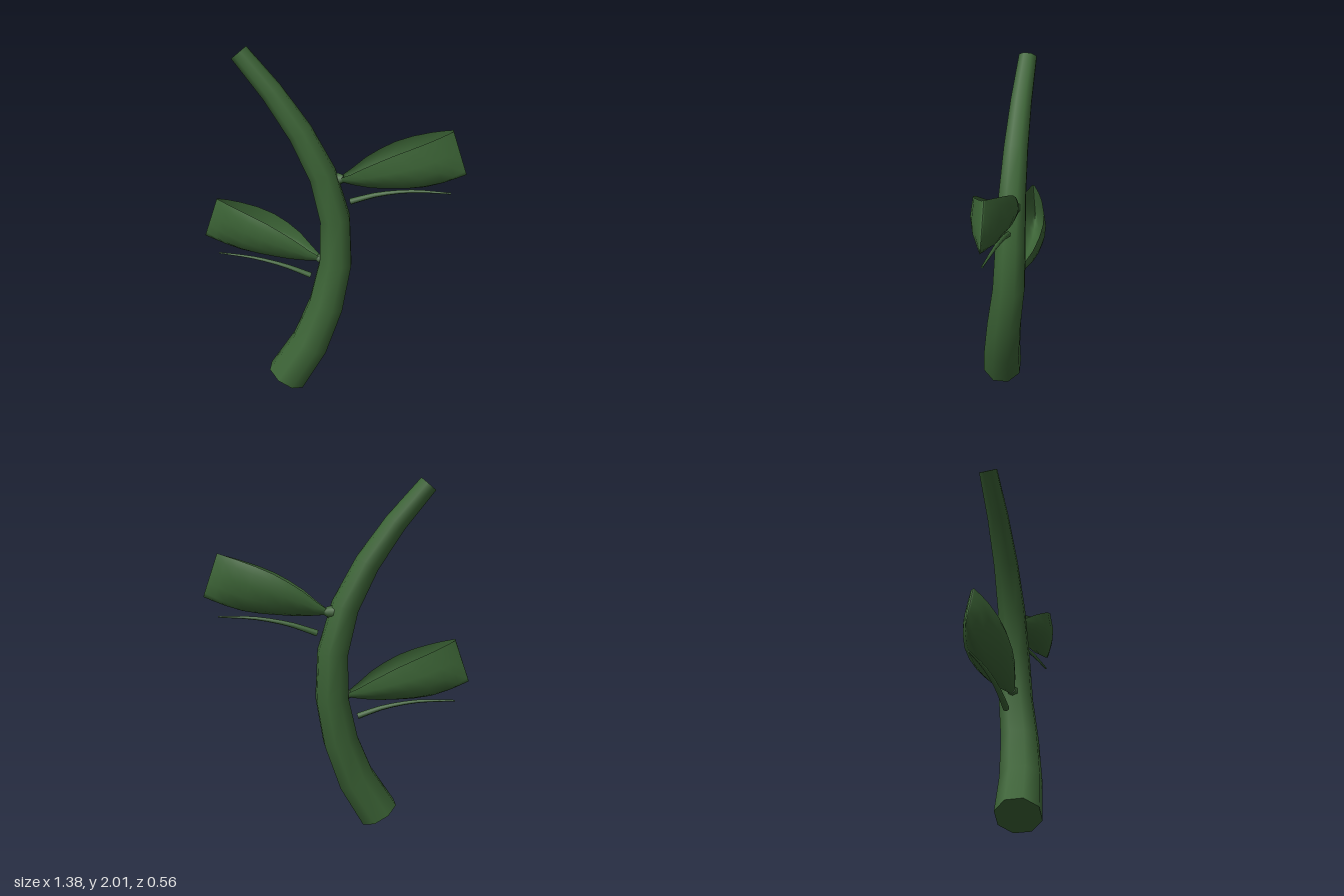
import * as THREE from 'three';

const green = new THREE.MeshStandardMaterial({ color: 0x3c6436, side: THREE.DoubleSide });
green.name = 'leafGreen';

const lerp = THREE.MathUtils.lerp;

function part(name, geometry) {
  const mesh = new THREE.Mesh(geometry, green);
  mesh.name = name;
  return mesh;
}

// Tapered tube with closed ends; radii are spread evenly along the path
function taperedTube(name, points, radii, rings, sides) {
  const curve = new THREE.CatmullRomCurve3(points.map((p) => new THREE.Vector3(...p)));
  const geometry = new THREE.TubeGeometry(curve, rings, 1, sides);
  const pos = geometry.attributes.position;
  const group = new THREE.Group();
  group.name = name;
  const v = new THREE.Vector3();
  for (let i = 0; i <= rings; i++) {
    const center = curve.getPointAt(i / rings);
    const t = (i / rings) * (radii.length - 1);
    const k = Math.min(Math.floor(t), radii.length - 2);
    const r = lerp(radii[k], radii[k + 1], t - k);
    const ring = [];
    for (let j = 0; j <= sides; j++) {
      const n = i * (sides + 1) + j;
      v.fromBufferAttribute(pos, n).sub(center).multiplyScalar(r).add(center);
      pos.setXYZ(n, v.x, v.y, v.z);
      ring.push(v.clone());
    }
    if (i === 0 || i === rings) {
      const fan = [];
      for (let j = 0; j < sides; j++) {
        fan.push(center, ...(i === 0 ? [ring[j], ring[j + 1]] : [ring[j + 1], ring[j]]));
      }
      const cap = new THREE.BufferGeometry().setFromPoints(fan);
      cap.computeVertexNormals();
      group.add(part(name + 'End', cap));
    }
  }
  group.add(part(name + 'Surface', geometry));
  return group;
}

// Boat-shaped leaf along +x: a point at the base, pinched to an upright seam at the tip
function leafGeometry() {
  // along, half width, bottom, top
  const stations = [
    [0, 0.012, -0.014, 0.012],
    [0.08, 0.05, -0.05, 0.038],
    [0.17, 0.085, -0.084, 0.073],
    [0.26, 0.103, -0.11, 0.096],
    [0.35, 0.108, -0.134, 0.112],
    [0.45, 0.098, -0.152, 0.118],
    [0.55, 0.07, -0.154, 0.117],
    [0.615, 0.042, -0.15, 0.114],
    [0.672, 0.01, -0.145, 0.11],
    [0.675, 0, -0.145, 0.11],
  ];
  // Cross-section from back rim, under the keel, to front rim
  const section = [[-0.82, 1], [-0.95, 0.7], [-0.97, 0.2], [-0.76, -0.35], [-0.38, -0.82], [0, -1],
    [0.45, -0.85], [0.85, -0.4], [1, 0.1], [0.93, 0.76]];
  const vertices = [];
  const index = [];
  const m = section.length;
  stations.forEach(([along, w, low, high], i) => {
    const tipBlend = (i / (stations.length - 1)) ** 1.5;
    section.forEach(([s, h], j) => {
      const hh = j === m - 1 ? lerp(h, 1, tipBlend) : h;
      vertices.push(along, (low + high) / 2 + hh * (high - low) / 2, s * w + 0.22 * w);
      if (i > 0 && j > 0) {
        const a = (i - 1) * m + j - 1;
        const b = i * m + j - 1;
        index.push(a, a + 1, b, b, a + 1, b + 1);
      }
    });
  });
  const geometry = new THREE.BufferGeometry();
  geometry.setAttribute('position', new THREE.Float32BufferAttribute(vertices, 3));
  geometry.setIndex(index);
  geometry.computeVertexNormals();
  return geometry;
}

// Leaf, its joint and the thin tendril below it
function branch(name) {
  const group = new THREE.Group();
  group.name = name;

  const leaf = part('leaf', leafGeometry());
  leaf.position.set(0.04, 1.28, -0.06);
  leaf.rotation.set(0, 0.331, 0.332, 'YZX');
  group.add(leaf);

  group.add(taperedTube('leafJoint',
    [[0.0, 1.285, -0.045], [0.035, 1.283, -0.057], [0.06, 1.285, -0.065]],
    [0.03, 0.038, 0.022], 3, 6));

  group.add(taperedTube('tendril',
    [[0.105, 1.16, -0.065], [0.24, 1.21, -0.12], [0.42, 1.245, -0.185], [0.62, 1.252, -0.247]],
    [0.018, 0.013, 0.009, 0.005], 8, 6));
  return group;
}

export function createModel() {
  const model = new THREE.Group();
  model.name = 'leafyStem';

  model.add(taperedTube('stem', [
    [-0.188, 0.052, 0.163],
    [-0.128, 0.168, 0.127],
    [-0.07, 0.28, 0.088],
    [0.003, 0.53, 0.025],
    [0.035, 0.79, -0.027],
    [0.03, 1.03, -0.033],
    [-0.025, 1.28, -0.008],
    [-0.132, 1.52, 0.038],
    [-0.284, 1.76, 0.098],
    [-0.45, 1.97, 0.158],
  ], [0.122, 0.114, 0.105, 0.097, 0.089, 0.08, 0.071, 0.062, 0.053], 8, 8));

  // The lower branch is the upper one turned half way round the stem
  model.add(branch('upperBranch'));
  const lower = branch('lowerBranch');
  lower.rotation.y = Math.PI;
  lower.position.set(0, -0.48, -0.048);
  model.add(lower);
  return model;
}
